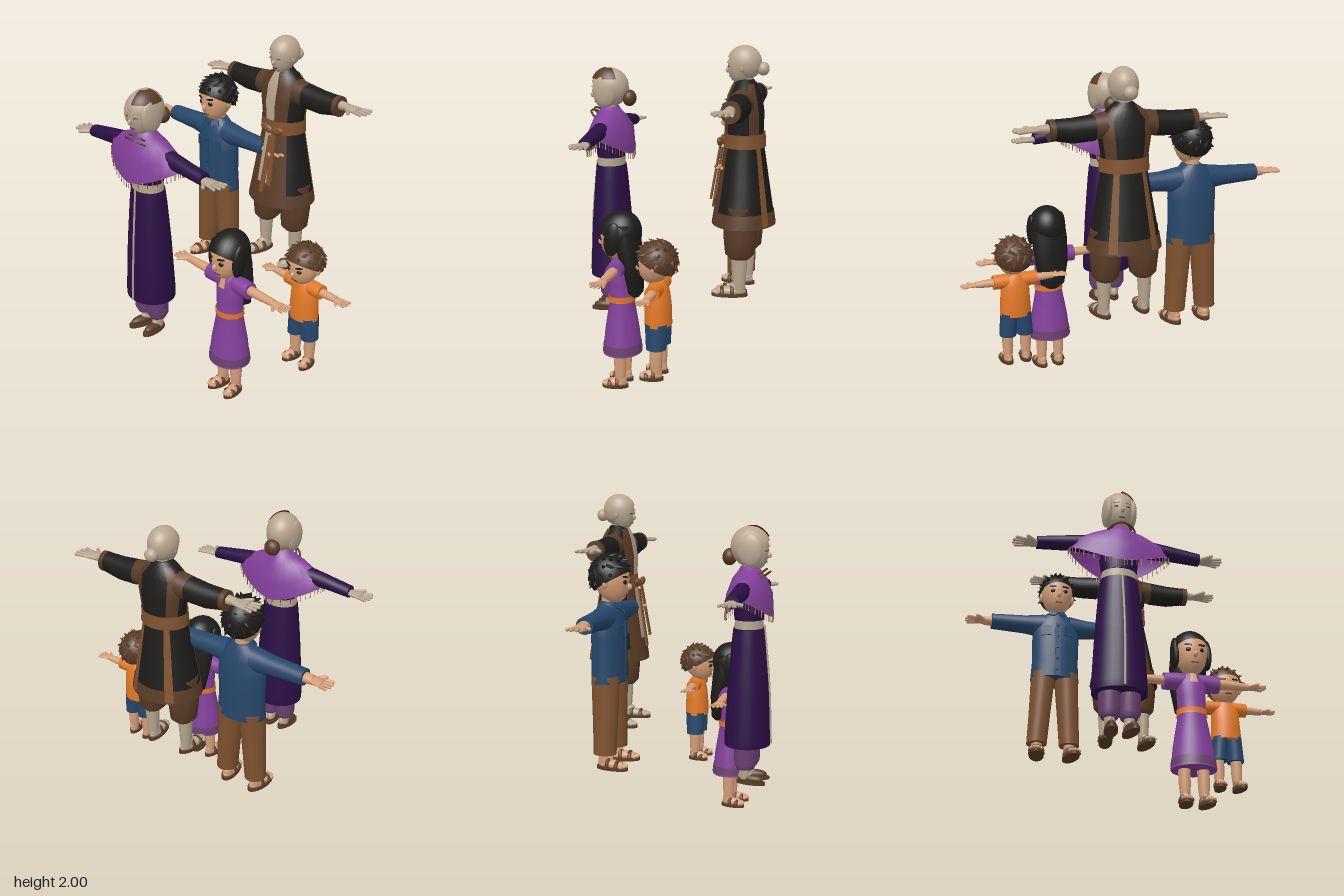
import * as THREE from 'three';

const mat = (name, color) => {
  const m = new THREE.MeshStandardMaterial({ color, side: THREE.DoubleSide });
  m.name = name;
  return m;
};
const pale = mat('paleSkin', 0xb8a690), tan = mat('tanSkin', 0xd69f78), black = mat('black', 0x1d1c1b);
const purple = mat('purple', 0x83409a), plum = mat('darkPurple', 0x2b0f45), mauve = mat('mauve', 0x6a4070);
const blue = mat('blue', 0x27476b), brown = mat('brown', 0x80522f), dark = mat('darkBrown', 0x5a3b27);
const orange = mat('orange', 0xe27826);

function add(g, name, geo, m, pos = [0, 0, 0], scale = [1, 1, 1], rot = [0, 0, 0]) {
  const mesh = new THREE.Mesh(geo, m);
  mesh.name = name;
  mesh.position.set(...pos);
  mesh.scale.set(...scale);
  mesh.rotation.set(...rot);
  g.add(mesh);
  return mesh;
}
const ball = new THREE.SphereGeometry(1, 20, 14), box = new THREE.BoxGeometry(1, 1, 1);

// Point on a ring [y, rx, rz, cx, cz, dip]; angle 0 is the front, dip lowers front and back
function ringPoint([y, rx, rz, cx = 0, cz = 0, dip = 0], a, p = 1, grow = 0) {
  const s = Math.sin(a), c = Math.cos(a);
  return [cx + (rx + grow) * Math.sign(s) * Math.abs(s) ** p, y - dip * c * c,
    cz + (rz + grow) * Math.sign(c) * Math.abs(c) ** p];
}
// Skin through elliptical rings listed from bottom to top; a0..a1 limits it to a sector
function loft(rings, { a0 = 0, a1 = 2 * Math.PI, grow = 0, p = 1, caps = true } = {}) {
  const full = a1 - a0 > 6.28, n = full ? 28 : 12, cols = full ? n : n + 1, last = rings.length - 1;
  const flat = r => [r[0], 0, 0, r[3], r[4], r[5]];
  const closed = full && caps;
  const rows = closed ? [flat(rings[0]), rings[0], ...rings, rings[last], flat(rings[last])] : rings;
  const pos = [], idx = [];
  rows.forEach((r, i) => {
    const g = r[1] === 0 ? 0 : grow;
    for (let j = 0; j < cols; j++) pos.push(...ringPoint(r, a0 + (a1 - a0) * j / n, p, g));
    if (i === rows.length - 1 || (closed && (i === 1 || i === rows.length - 3))) return;
    for (let j = 0; j < n; j++) {
      const a = i * cols + j, b = i * cols + (j + 1) % cols;
      idx.push(a, b, b + cols, a, b + cols, a + cols);
    }
  });
  const geo = new THREE.BufferGeometry();
  geo.setAttribute('position', new THREE.Float32BufferAttribute(pos, 3));
  geo.setIndex(idx);
  geo.computeVertexNormals();
  return geo;
}
// Slice of a ring list between two heights
function band(rings, y0, y1) {
  const at = y => {
    const i = Math.max(1, rings.findIndex(r => r[0] >= y)), a = rings[i - 1], b = rings[i];
    const t = (y - a[0]) / (b[0] - a[0]);
    return [y, 1, 2].map((k, q) => q === 0 ? y : a[k] + (b[k] - a[k]) * t);
  };
  return [at(y0), ...rings.filter(r => r[0] > y0 && r[0] < y1), at(y1)];
}
// Sideways limb from rings [distance, vertical radius, depth radius, drop]
function limb(g, name, m, s, y, rings) {
  const geo = loft(rings.map(([x, rv, rz, drop = 0]) => [x, rv, rz, drop * s]));
  geo.rotateZ(-s * Math.PI / 2);
  add(g, name, geo, m, [0, y, 0]);
}
function hand(g, m, s, x, y, len, w) {
  const h = new THREE.Group();
  h.name = 'hand';
  g.add(h);
  limb(h, 'palm', m, s, y, [[x - 0.02, w * 0.42, w * 0.5], [x + len * 0.2, w * 0.36, w * 0.85], [x + len * 0.52, w * 0.25, w]]);
  const finger = (fx, z, l, phi, r) => add(h, 'finger', new THREE.CapsuleGeometry(r, l, 3, 8).rotateZ(-s * Math.PI / 2), m,
    [s * (fx + Math.cos(phi) * l / 2), y, z + Math.sin(phi) * l / 2], [1, 1, 1], [0, -s * phi, 0]);
  for (let i = 0; i < 4; i++) {
    const k = (i - 1.5) / 1.5;
    finger(x + len * 0.5, k * w * 0.75, len * (0.42 - 0.09 * k * k), k * 0.22, w * 0.2);
  }
  finger(x + len * 0.15, w * 0.7, len * 0.36, 0.75, w * 0.24);
}
function foot(g, m, x, z, base, L, W, shoe) {
  const f = new THREE.Group();
  f.name = 'foot';
  f.position.set(x, base, z);
  f.rotation.y = Math.sign(x) * 0.15;
  g.add(f);
  add(f, 'sole', new THREE.CylinderGeometry(0.5, 0.5, 1, 24), dark, [0, 0.009, 0], [W, 0.018, L]);
  add(f, 'instep', ball, shoe ? dark : m, [0, 0.03, -L * 0.02], [W * 0.42, 0.028, L * 0.44]);
  add(f, 'heel', ball, m, [0, 0.045, -L * 0.2], [W * 0.36, 0.045, L * 0.24]);
  if (shoe) return;
  for (let i = -2; i <= 2; i++) add(f, 'toe', ball, m, [i * W * 0.17, 0.026, L * (0.42 - 0.02 * i * i)], [W * 0.1, 0.012, L * 0.08]);
  for (const k of [0.2, -0.08]) add(f, 'strap', new THREE.TorusGeometry(W * 0.46, 0.008, 6, 16, Math.PI), dark, [0, 0.015, L * k], [1, k > 0 ? 0.9 : 1.25, 1.6]);
}
// Head with face; h, w and d are half sizes
function head(g, m, y, h, w, d, z, young) {
  const H = new THREE.Group();
  H.name = 'head';
  H.position.set(0, y, z);
  g.add(H);
  const prof = [[-1, 0.15], [-0.93, 0.38], [-0.8, 0.58], [-0.55, 0.8], [-0.2, 0.95], [0.15, 1], [0.5, 0.9], [0.8, 0.62], [0.95, 0.32], [1, 0.02]];
  add(H, 'skull', loft(prof.map(([t, r]) => [t * h, r * w, r * d, 0, Math.max(0, -t) * d * 0.2])), m);
  add(H, 'nose', ball, m, [0, -0.3 * h, d * 0.97], [w * 0.13, h * 0.15, d * 0.2]);
  add(H, 'mouth', box, dark, [0, -0.64 * h, d * 0.84], [w * 0.4, 0.006, 0.009]);
  for (const s of [-1, 1]) {
    add(H, 'ear', ball, m, [s * w * 1.0, -0.12 * h, -0.05 * d], [w * 0.13, h * 0.22, d * 0.17]);
    add(H, 'eye', ball, young ? black : dark, [s * w * 0.4, -0.08 * h, d * 0.89], [w * 0.15, young ? h * 0.1 : 0.004, 0.008], [0, s * 0.4, 0]);
    add(H, 'brow', box, young ? black : pale, [s * w * 0.4, 0.14 * h, d * 0.92], [w * 0.42, h * 0.07, 0.009], [0, s * 0.4, s * 0.12]);
  }
  return H;
}
// Hair cap tilted back, with optional rows of pointed tufts
function hair(H, m, w, h, d, tufts, tilt = -0.5) {
  add(H, 'hairCap', new THREE.SphereGeometry(1, 28, 16, 0, Math.PI * 2, 0, Math.PI * 0.56), m, [0, h * 0.08, -d * 0.06], [w * 1.1, h * 0.97, d * 1.1], [tilt, 0, 0]);
  const up = new THREE.Vector3(0, 1, 0);
  for (let i = 0; i < tufts; i++) {
    const t = 1 - 1.05 * (i + 0.5) / tufts, a = i * 2.4, r = Math.sqrt(1 - t * t);
    const n = new THREE.Vector3(r * Math.sin(a), t, r * Math.cos(a)).applyAxisAngle(new THREE.Vector3(1, 0, 0), tilt);
    const dir = n.clone().add(new THREE.Vector3(Math.sin(a * 1.7) * 0.6, -0.5, 0.5)).normalize();
    const tuft = add(H, 'hairTuft', new THREE.ConeGeometry(w * 0.22, w * 0.55, 6), m,
      [n.x * w * 1.06, n.y * h * 0.94 + h * 0.08, n.z * d * 1.06 - d * 0.06]);
    tuft.quaternion.setFromUnitVectors(up, dir);
  }
}
function figure(root, name, x, z) {
  const g = new THREE.Group();
  g.name = name;
  g.position.set(x, 0, z);
  g.rotation.y = -0.81;
  root.add(g);
  return g;
}
const both = fn => [-1, 1].forEach(fn);

function shawlWoman(root) {
  const g = figure(root, 'womanInShawl', -0.4, 0.29);
  both(s => {
    foot(g, pale, s * 0.055, 0.035, 0.31, 0.18, 0.075, true);
    add(g, 'trouserLeg', loft([[0.4, 0.045, 0.05], [0.43, 0.062, 0.065], [0.62, 0.065, 0.07]].map(r => [...r, s * 0.055])), mauve);
    add(g, 'ankle', loft([[0.34, 0.026, 0.03, s * 0.055], [0.42, 0.032, 0.035, s * 0.055]]), pale);
    limb(g, 'sleeve', plum, s, 1.48, [[0.08, 0.06, 0.06], [0.3, 0.045, 0.045, 0.015], [0.48, 0.036, 0.04, 0.035]]);
    hand(g, pale, s, 0.48, 1.44, 0.145, 0.045);
  });
  add(g, 'skirt', loft([[0.54, 0.155, 0.135], [0.58, 0.157, 0.137], [0.9, 0.14, 0.12], [1.15, 0.12, 0.1], [1.24, 0.11, 0.09]]), plum);
  add(g, 'waist', loft([[1.22, 0.105, 0.085], [1.32, 0.1, 0.08]]), pale);
  add(g, 'bodice', loft([[1.29, 0.103, 0.085], [1.42, 0.12, 0.095], [1.52, 0.12, 0.07], [1.56, 0.06, 0.05]]), plum);
  const shawl = [[1.43, 0.3, 0.14, 0, 0, 0.12], [1.49, 0.275, 0.135, 0, 0, 0.06], [1.54, 0.17, 0.1, 0, 0, 0.01], [1.57, 0.085, 0.07], [1.6, 0.05, 0.052]];
  add(g, 'shawl', loft(shawl, { p: 1.25, caps: false }), purple);
  for (let i = 0; i < 56; i++) {
    const [px, py, pz] = ringPoint(shawl[0], i / 56 * Math.PI * 2, 1.25);
    add(g, 'fringe', new THREE.CylinderGeometry(0.0025, 0.0025, 0.04, 5), i % 2 ? brown : pale, [px, py - 0.015, pz]);
  }
  [0.06, 0.085].forEach((r, i) => add(g, 'necklace', new THREE.TorusGeometry(r, 0.006, 6, 24), dark, [0, 1.55 - i * 0.03, 0.05], [1, 1, 1], [0.95, 0, 0]));
  add(g, 'beltCord', new THREE.TubeGeometry(new THREE.CatmullRomCurve3([[0, 1.26, 0.092], [0.005, 0.9, 0.126], [0, 0.55, 0.142]].map(v => new THREE.Vector3(...v))), 12, 0.006, 6), pale);
  add(g, 'neck', loft([[1.53, 0.038, 0.04], [1.64, 0.036, 0.038]]), pale);
  const H = head(g, pale, 1.7, 0.12, 0.085, 0.1, 0.01, false);
  hair(H, pale, 0.09, 0.125, 0.105, 0, -0.55);
  both(s => add(H, 'sideHair', ball, pale, [s * 0.072, -0.005, 0.005], [0.03, 0.095, 0.075]));
  add(H, 'backHair', ball, pale, [0, 0, -0.03], [0.088, 0.1, 0.085]);
  add(H, 'hairPatch', new THREE.SphereGeometry(1, 14, 10, Math.PI * 0.55, Math.PI * 0.65, 0.25, 0.85), dark, [0, 0.01, -0.006], [0.104, 0.127, 0.121]);
  add(H, 'hairBun', ball, dark, [0, -0.05, -0.13], [0.05, 0.05, 0.042]);
}

function robedElder(root) {
  const g = figure(root, 'elderInRobe', 0.39, -0.15);
  const robe = [[0.98, 0.215, 0.18], [1.2, 0.175, 0.145], [1.42, 0.135, 0.11], [1.5, 0.13, 0.105], [1.62, 0.15, 0.108], [1.72, 0.155, 0.09], [1.77, 0.1, 0.07], [1.81, 0.048, 0.048]];
  const trim = (name, m, y0, y1, a0, a1, grow) => add(g, name, loft(band(robe, y0, y1), { a0, a1, grow, caps: false }), m);
  add(g, 'robe', loft(robe), black);
  trim('hemTrim', dark, 0.98, 1.06, 0, Math.PI * 2, 0.005);
  trim('frontPanel', dark, 1.0, 1.79, -0.8, 0.8, 0.006);
  trim('bareChest', pale, 1.12, 1.8, -0.26, 0.2, 0.01);
  both(s => {
    const c = Math.PI + s * 0.62;
    trim('backStripe', brown, 0.99, 1.46, c - 0.13, c + 0.13, 0.007);
    trim('shoulderStripe', dark, 1.5, 1.79, c + s * 0.25 - 0.28, c + s * 0.25 + 0.28, 0.007);
    foot(g, pale, s * 0.13, 0.055, 0.565, 0.21, 0.085, false);
    add(g, 'shin', loft([[0.6, 0.03, 0.034], [0.7, 0.036, 0.042], [0.85, 0.045, 0.05]].map(r => [...r, s * 0.125])), pale);
    add(g, 'baggyTrousers', loft([[0.79, 0.05, 0.055], [0.82, 0.078, 0.085], [0.93, 0.09, 0.095], [1.1, 0.085, 0.09]].map(r => [...r, s * 0.115])), dark);
    limb(g, 'shoulder', dark, s, 1.69, [[0.08, 0.075, 0.075], [0.19, 0.07, 0.066, 0.01]]);
    limb(g, 'sleeve', black, s, 1.69, [[0.18, 0.073, 0.069, 0.012], [0.3, 0.07, 0.06, 0.02], [0.41, 0.058, 0.054, 0.01]]);
    limb(g, 'cuff', dark, s, 1.69, [[0.405, 0.06, 0.056, 0.01], [0.435, 0.06, 0.054, 0.01]]);
    limb(g, 'wrist', pale, s, 1.69, [[0.42, 0.027, 0.03], [0.49, 0.022, 0.026]]);
    hand(g, pale, s, 0.48, 1.69, 0.155, 0.047);
    add(g, 'sashTail', box, brown, [0.03 + s * 0.022, 1.27 + s * 0.03, 0.155], [0.032, 0.36, 0.009], [-0.16, 0, s * 0.05]);
    add(g, 'sashBow', ball, brown, [0.03 + s * 0.04, 1.46, 0.13], [0.045, 0.025, 0.016], [0, 0, s * 0.3]);
  });
  trim('sash', brown, 1.43, 1.51, 0, Math.PI * 2, 0.012);
  add(g, 'neck', loft([[1.75, 0.04, 0.042], [1.86, 0.036, 0.04]]), pale);
  const H = head(g, pale, 1.89, 0.105, 0.074, 0.086, 0.015, false);
  hair(H, pale, 0.076, 0.106, 0.09, 0, -0.6);
  add(H, 'backHair', ball, pale, [0, 0.005, -0.025], [0.078, 0.085, 0.075]);
  add(H, 'hairBun', ball, pale, [0, -0.02, -0.115], [0.04, 0.038, 0.035]);
}

function blueShirtMan(root) {
  const g = figure(root, 'manInBlueShirt', 0, -0.42);
  both(s => {
    foot(g, tan, s * 0.105, 0.045, 0.42, 0.2, 0.09, false);
    add(g, 'ankle', loft([[0.45, 0.03, 0.034, s * 0.1], [0.54, 0.035, 0.04, s * 0.1]]), tan);
    add(g, 'trouserLeg', loft([[0.51, 0.062, 0.068, s * 0.1], [0.7, 0.066, 0.074, s * 0.088], [0.97, 0.075, 0.085, s * 0.072]]), brown);
    limb(g, 'sleeve', blue, s, 1.31, [[0.08, 0.075, 0.07], [0.2, 0.058, 0.056], [0.41, 0.048, 0.05]]);
    limb(g, 'forearm', tan, s, 1.31, [[0.4, 0.03, 0.034], [0.46, 0.026, 0.03]]);
    hand(g, tan, s, 0.45, 1.31, 0.13, 0.045);
    add(g, 'pocket', box, blue, [s * 0.07, 1.24, 0.09], [0.06, 0.065, 0.009], [0, s * 0.35, 0]);
    add(g, 'collar', box, blue, [s * 0.03, 1.375, 0.062], [0.05, 0.035, 0.009], [-0.5, s * 0.3, s * 0.5]);
  });
  add(g, 'shirt', loft([[0.93, 0.152, 0.102], [1.05, 0.145, 0.1], [1.2, 0.148, 0.1], [1.31, 0.145, 0.085], [1.37, 0.09, 0.065], [1.4, 0.052, 0.052]]), blue);
  add(g, 'placket', box, blue, [0, 1.11, 0.102], [0.03, 0.36, 0.008]);
  for (let i = 0; i < 5; i++) add(g, 'button', ball, black, [0, 0.97 + i * 0.075, 0.107], [0.006, 0.006, 0.003]);
  add(g, 'neck', loft([[1.36, 0.042, 0.045], [1.46, 0.04, 0.042]]), tan);
  const H = head(g, tan, 1.525, 0.135, 0.1, 0.108, 0.015, true);
  hair(H, black, 0.104, 0.142, 0.112, 46);
}

function longHairGirl(root) {
  const g = figure(root, 'girlInDress', 0.07, 0.49);
  both(s => {
    foot(g, tan, s * 0.06, 0.03, 0, 0.155, 0.075, false);
    add(g, 'leg', loft([[0.03, 0.024, 0.028], [0.12, 0.033, 0.036], [0.3, 0.036, 0.04]].map(r => [...r, s * 0.055])), tan);
    limb(g, 'shortSleeve', purple, s, 0.745, [[0.04, 0.05, 0.05], [0.11, 0.052, 0.05, 0.002], [0.165, 0.05, 0.048, 0.005]]);
    limb(g, 'arm', tan, s, 0.745, [[0.14, 0.028, 0.03], [0.25, 0.025, 0.028], [0.35, 0.02, 0.023]]);
    hand(g, tan, s, 0.345, 0.745, 0.115, 0.037);
  });
  const dress = [[0.21, 0.13, 0.115], [0.35, 0.115, 0.1], [0.54, 0.08, 0.07], [0.64, 0.084, 0.074], [0.73, 0.088, 0.066], [0.78, 0.06, 0.05], [0.8, 0.036, 0.038]];
  add(g, 'dress', loft(dress), purple);
  add(g, 'hemBand', loft(band(dress, 0.22, 0.27), { grow: 0.003, caps: false }), mauve);
  add(g, 'belt', loft(band(dress, 0.53, 0.565), { grow: 0.008, caps: false }), orange);
  add(g, 'neckline', loft(band(dress, 0.72, 0.795), { a0: -0.25, a1: 0.25, grow: 0.004, caps: false }), tan);
  add(g, 'neck', loft([[0.76, 0.03, 0.032], [0.84, 0.028, 0.03]]), tan);
  const H = head(g, tan, 0.915, 0.135, 0.1, 0.105, 0.015, true);
  hair(H, black, 0.104, 0.148, 0.115, 0, -0.55);
  add(H, 'longHair', loft([[-0.36, 0.03, 0.02, 0, -0.1], [-0.33, 0.075, 0.042, 0, -0.1], [-0.2, 0.102, 0.058, 0, -0.09], [-0.06, 0.112, 0.075, 0, -0.06], [0.08, 0.1, 0.075, 0, -0.04]]), black);
  both(s => add(H, 'sideLock', ball, black, [s * 0.097, 0, 0.008], [0.024, 0.1, 0.05], [-0.15, 0, 0]));
}

function orangeShirtBoy(root) {
  const g = figure(root, 'boyInOrangeShirt', 0.5, 0.5);
  both(s => {
    foot(g, tan, s * 0.06, 0.025, 0.205, 0.135, 0.068, false);
    add(g, 'leg', loft([[0.23, 0.024, 0.028], [0.31, 0.032, 0.035], [0.42, 0.034, 0.038]].map(r => [...r, s * 0.055])), tan);
    add(g, 'shorts', loft([[0.385, 0.05, 0.056, s * 0.052], [0.53, 0.05, 0.064, s * 0.042]]), blue);
    limb(g, 'shortSleeve', orange, s, 0.725, [[0.03, 0.044, 0.045], [0.09, 0.042, 0.044], [0.13, 0.042, 0.042]]);
    limb(g, 'arm', tan, s, 0.725, [[0.11, 0.025, 0.027], [0.18, 0.022, 0.025], [0.235, 0.018, 0.021]]);
    hand(g, tan, s, 0.23, 0.725, 0.095, 0.031);
  });
  add(g, 'shirt', loft([[0.515, 0.094, 0.076], [0.62, 0.088, 0.074], [0.7, 0.085, 0.064], [0.75, 0.06, 0.048], [0.765, 0.036, 0.036]]), orange);
  add(g, 'neck', loft([[0.74, 0.028, 0.03], [0.81, 0.027, 0.029]]), tan);
  const H = head(g, tan, 0.865, 0.115, 0.097, 0.1, 0.01, true);
  hair(H, dark, 0.1, 0.118, 0.104, 46);
}

export function createModel() {
  const root = new THREE.Group();
  root.name = 'familyOfFive';
  [shawlWoman, robedElder, blueShirtMan, longHairGirl, orangeShirtBoy].forEach(build => build(root));
  return root;
}
